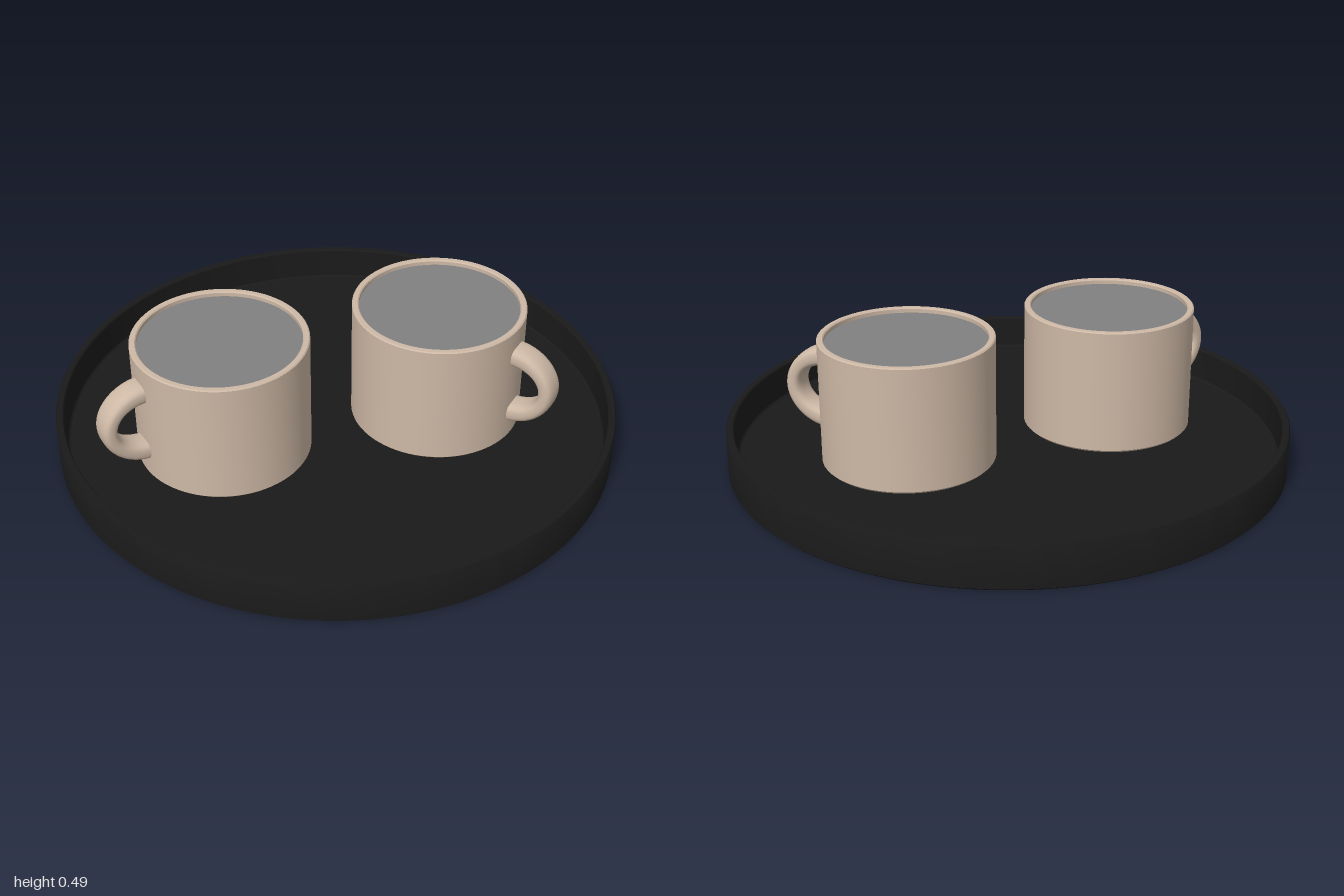
import * as THREE from 'three';
import { toCreasedNormals } from 'three/addons/utils/BufferGeometryUtils.js';
import { ParametricGeometry } from 'three/addons/geometries/ParametricGeometry.js';

const black = new THREE.MeshStandardMaterial({ color: 0x1a1a1a });
const clay = new THREE.MeshStandardMaterial({ color: 0xcdb8a5 });
const grey = new THREE.MeshStandardMaterial({ color: 0x808080 });

const FLOOR = 0.035;      // top of the tray floor
const R = 0.308;          // mug radius
const RIM = 0.49;         // mug rim height

function part(name, geometry, material) {
  const mesh = new THREE.Mesh(geometry, material);
  mesh.name = name;
  return mesh;
}

// Turned solid with sharp edges kept
function turned(points, segments) {
  const profile = points.map(([x, y]) => new THREE.Vector2(x, y));
  return toCreasedNormals(new THREE.LatheGeometry(profile, segments), 0.6);
}

// Half-ring strap handle, thicker where it meets the mug
function handleGeometry() {
  const round = (v) => Math.sign(v) * Math.pow(Math.abs(v), 0.7);
  return new ParametricGeometry((u, v, target) => {
    const t = (u - 0.5) * Math.PI;
    const p = v * Math.PI * 2;
    const half = 0.028 + 0.008 * Math.sin(t) ** 4;
    const offset = half * round(Math.cos(p));
    target.set(
      R - 0.012 + (0.138 + offset) * Math.cos(t),
      0.262 + (0.118 + offset) * Math.sin(t),
      0.05 * round(Math.sin(p))
    );
  }, 40, 32);
}

function createMug(name, x, z, turn) {
  const mug = new THREE.Group();
  mug.name = name;
  // Hollow body with softly broken rim and foot
  mug.add(part('mugBody', turned([
    [0, FLOOR], [R - 0.008, FLOOR], [R, FLOOR + 0.008],
    [R, RIM - 0.004], [R - 0.004, RIM], [R - 0.02, RIM], [R - 0.024, RIM - 0.004],
    [R - 0.024, FLOOR + 0.025], [0, FLOOR + 0.025]
  ], 80), clay));
  mug.add(part('mugHandle', handleGeometry(), clay));
  // Drink surface just below the rim
  const drink = part('drink', new THREE.CylinderGeometry(R - 0.023, R - 0.023, 0.02, 80), grey);
  drink.position.y = RIM - 0.028;
  mug.add(drink);
  mug.position.set(x, 0, z);
  mug.rotation.y = turn;
  return mug;
}

export function createModel() {
  const model = new THREE.Group();
  model.name = 'trayWithMugs';
  // Round tray with an upright wall
  model.add(part('tray', turned([
    [0, 0], [0.994, 0], [1, 0.006], [1, 0.154], [0.996, 0.16],
    [0.976, 0.16], [0.972, 0.155], [0.968, FLOOR + 0.006], [0.962, FLOOR], [0, FLOOR]
  ], 128), black));
  model.add(createMug('backMug', 0.283, -0.238, 0));
  model.add(createMug('frontMug', -0.27, 0.324, -Math.PI * 2 / 3));
  return model;
}
